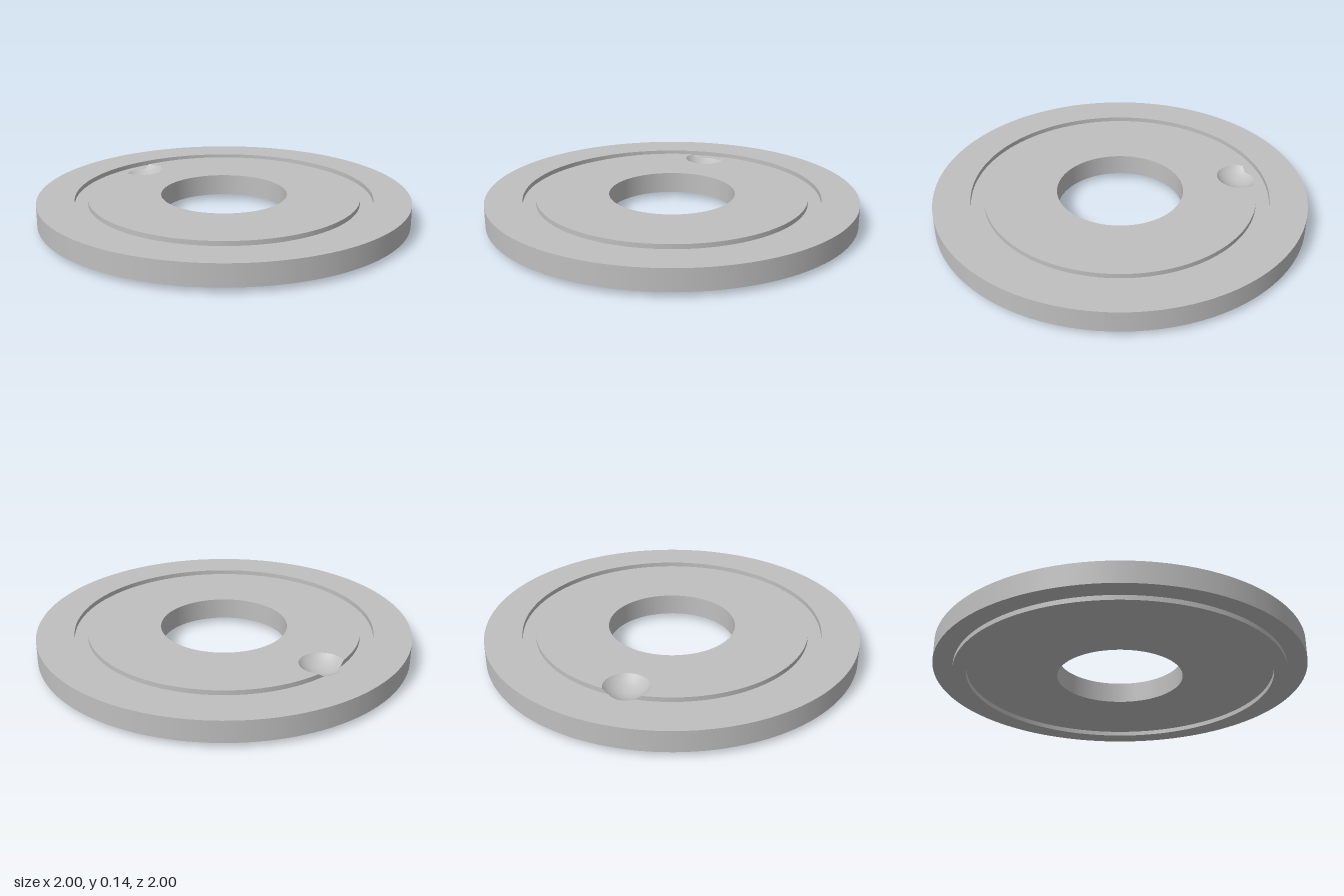
import * as THREE from 'three';

// Levels and radii
const TOP = 0.14, FLOOR = 0.115, BASE = 0.025;
const HOLE = 0.34, GROOVE_IN = 0.73, GROOVE_OUT = 0.8;
const SEG = 128;

// Spherical dimple that breaks into the groove
const DC = 0.665;                 // distance of its axis from the centre
const R_TOP = 0.116, R_FLOOR = 0.09;
const STEP = TOP - FLOOR;
const LIFT = (R_TOP ** 2 - R_FLOOR ** 2 - STEP ** 2) / (2 * STEP);
const R_BALL = Math.hypot(R_TOP, LIFT);
const ballY = (d) => TOP + LIFT - Math.sqrt(Math.max(0, R_BALL ** 2 - d * d));

// Where a dimple circle of radius r crosses the groove's inner edge
function crossing(r) {
  const y = (GROOVE_IN ** 2 - r * r + DC * DC) / (2 * DC);
  const x = Math.sqrt(GROOVE_IN ** 2 - y * y);
  return { delta: Math.atan2(x, y), b: Math.atan2(y - DC, x) };
}

// Inner groove edge, closed by the dimple arc on its near or far side
function bittenCircle(path, r, inward) {
  const { delta, b } = crossing(r);
  path.absarc(0, 0, GROOVE_IN, Math.PI / 2 + delta, Math.PI * 2.5 - delta, false);
  path.absarc(0, DC, r, b, Math.PI - b, inward);
  return path;
}

export function createModel() {
  const group = new THREE.Group();
  const grey = new THREE.MeshStandardMaterial({ color: 0xbfbfbf });
  grey.name = 'plain grey';

  const add = (name, geometry) => {
    const mesh = new THREE.Mesh(geometry, grey);
    mesh.name = name;
    group.add(mesh);
    return mesh;
  };
  const band = (name, r0, y0, r1, y1) =>
    add(name, new THREE.LatheGeometry([new THREE.Vector2(r0, y0), new THREE.Vector2(r1, y1)], SEG));
  const flat = (name, shape, y) => {
    const mesh = add(name, new THREE.ShapeGeometry(shape, SEG));
    mesh.rotation.x = -Math.PI / 2;
    mesh.position.y = y;
  };

  // Turned faces, each separate so that the edges stay sharp
  band('boreWall', HOLE, TOP, HOLE, BASE);
  band('underside', HOLE, BASE, 0.825, BASE);
  band('ribInnerWall', 0.825, BASE, 0.825, 0);
  band('ribBottom', 0.825, 0, 0.895, 0);
  band('ribOuterWall', 0.895, 0, 0.895, BASE);
  band('rimUnderside', 0.895, BASE, 1, BASE);
  band('rimWall', 1, BASE, 1, TOP);
  band('rimTop', 1, TOP, GROOVE_OUT, TOP);
  band('grooveOuterWall', GROOVE_OUT, TOP, GROOVE_OUT, FLOOR);

  // Inner top face with the dimple bitten out of its edge
  const face = bittenCircle(new THREE.Shape(), R_TOP, true);
  face.holes.push(new THREE.Path().absarc(0, 0, HOLE, 0, Math.PI * 2, true));
  flat('innerTop', face, TOP);

  // Groove floor with the dimple bulging into it
  const floor = new THREE.Shape().absarc(0, 0, GROOVE_OUT, 0, Math.PI * 2, false);
  floor.holes.push(bittenCircle(new THREE.Path(), R_FLOOR, false));
  flat('grooveFloor', floor, FLOOR);

  // Inner groove wall, its upper edge cut down by the dimple
  const wall = new THREE.CylinderGeometry(GROOVE_IN, GROOVE_IN, STEP, SEG * 3, 1, true);
  wall.translate(0, FLOOR + STEP / 2, 0);
  const wp = wall.attributes.position;
  for (let i = 0; i < wp.count; i++) {
    if (wp.getY(i) < FLOOR + STEP / 2) continue;
    const d = Math.hypot(wp.getX(i), wp.getZ(i) + DC);
    if (d < R_TOP) wp.setY(i, THREE.MathUtils.clamp(ballY(d), FLOOR, TOP));
  }
  add('grooveInnerWall', wall);

  // Dimple: a disc pushed down onto the sphere and trimmed at the groove
  const cap = new THREE.RingGeometry(0, 1, 96, 12);
  const cp = cap.attributes.position, cn = cap.attributes.normal;
  for (let i = 0; i < cp.count; i++) {
    const x = cp.getX(i), y = cp.getY(i), a = Math.atan2(y, x);
    const edge = -DC * Math.sin(a) + Math.sqrt(GROOVE_IN ** 2 - (DC * Math.cos(a)) ** 2);
    const r = Math.hypot(x, y) * THREE.MathUtils.clamp(edge, R_FLOOR, R_TOP);
    const px = r * Math.cos(a), py = r * Math.sin(a), h = ballY(r);
    cp.setXYZ(i, px, py + DC, h);
    cn.setXYZ(i, -px / R_BALL, -py / R_BALL, (TOP + LIFT - h) / R_BALL);
  }
  add('dimple', cap).rotation.x = -Math.PI / 2;

  return group;
}
